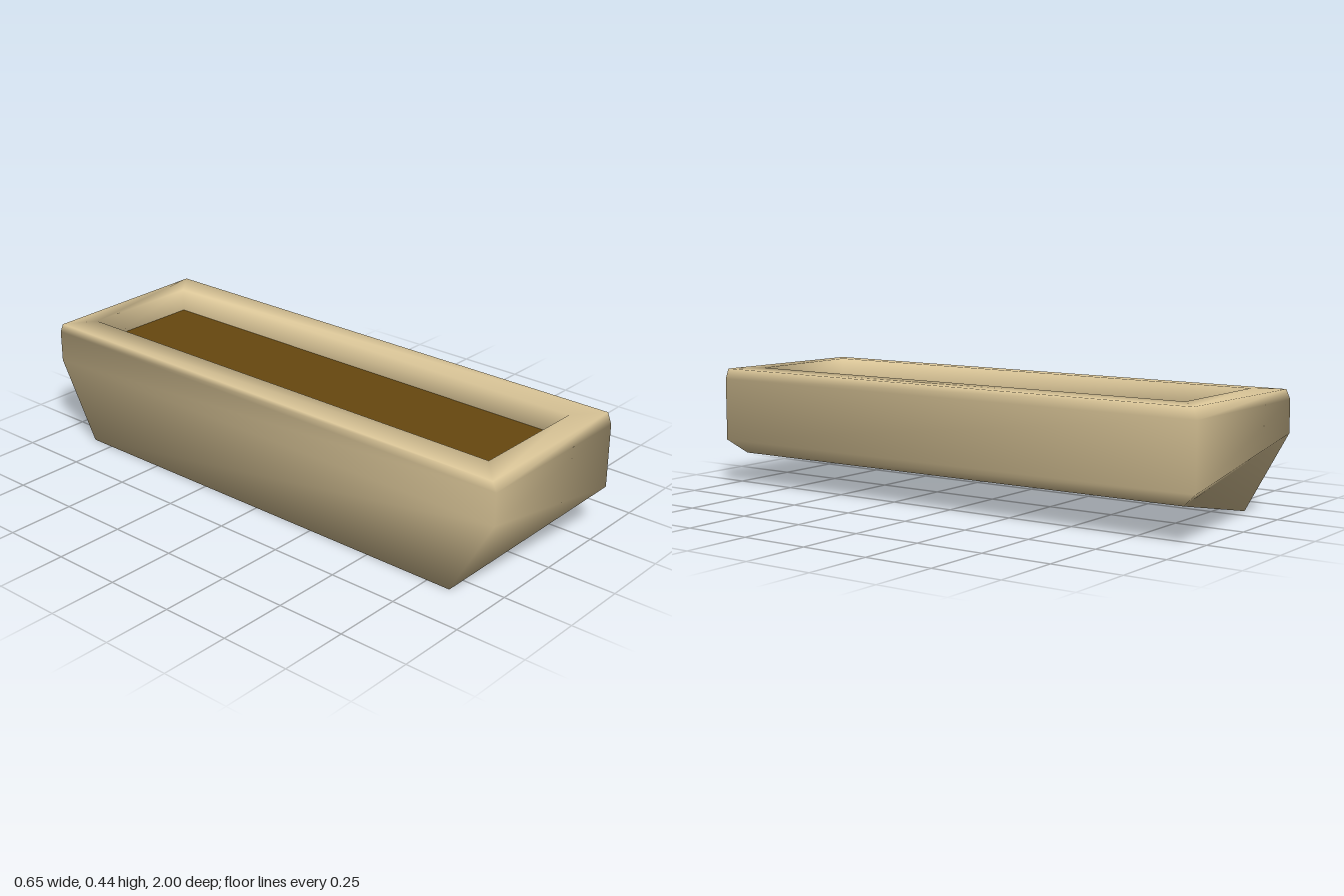
import * as THREE from 'three';

export function createModel() {
  const model = new THREE.Group();
  const clay = new THREE.MeshStandardMaterial({ color: 0xdcc799 });
  clay.name = 'pale clay';
  const earth = new THREE.MeshStandardMaterial({ color: 0x67480f });
  earth.name = 'brown soil';

  // Rectangular ring: [left x, right x, y at left, y at right, half z at left, half z at right]
  const ring = ([x0, x1, y0, y1, z0, z1]) => [
    x0, y0, z0, x1, y1, z1, x1, y1, -z1, x0, y0, -z0,
  ];
  const sections = [
    [-0.228, 0.222, 0.34, 0.34, 0.9, 0.9],        // inside, at the soil
    [-0.228, 0.222, 0.44, 0.44, 0.9, 0.9],        // inner rim
    [-0.325, 0.325, 0.434, 0.44, 0.985, 0.985],   // outer rim
    [-0.325, 0.325, 0.4, 0.4, 1, 1],              // top of the walls
    [-0.325, 0.325, 0.285, 0.17, 1, 1],           // end crease
    [-0.325, 0.285, 0, 0.121, 0.84, 0.935],       // slanted base edge
  ];
  const index = [];
  for (let k = 0; k < sections.length - 1; k++) {
    for (let i = 0; i < 4; i++) {
      const j = (i + 1) % 4;
      const up = k * 4, lo = up + 4;
      index.push(lo + i, lo + j, up + j, lo + i, up + j, up + i);
    }
  }
  // Slanted underside
  const b = (sections.length - 1) * 4;
  index.push(b, b + 3, b + 2, b, b + 2, b + 1);

  const shell = new THREE.BufferGeometry();
  shell.setAttribute('position', new THREE.Float32BufferAttribute(sections.flatMap(ring), 3));
  shell.setIndex(index);
  shell.computeVertexNormals();
  const trough = new THREE.Mesh(shell, clay);
  trough.name = 'planterTrough';
  model.add(trough);

  // Soil filling the opening just below the rim
  const soil = new THREE.Mesh(new THREE.BoxGeometry(0.45, 0.02, 1.8), earth);
  soil.name = 'soil';
  soil.position.set(-0.003, 0.346, 0);
  model.add(soil);

  return model;
}
